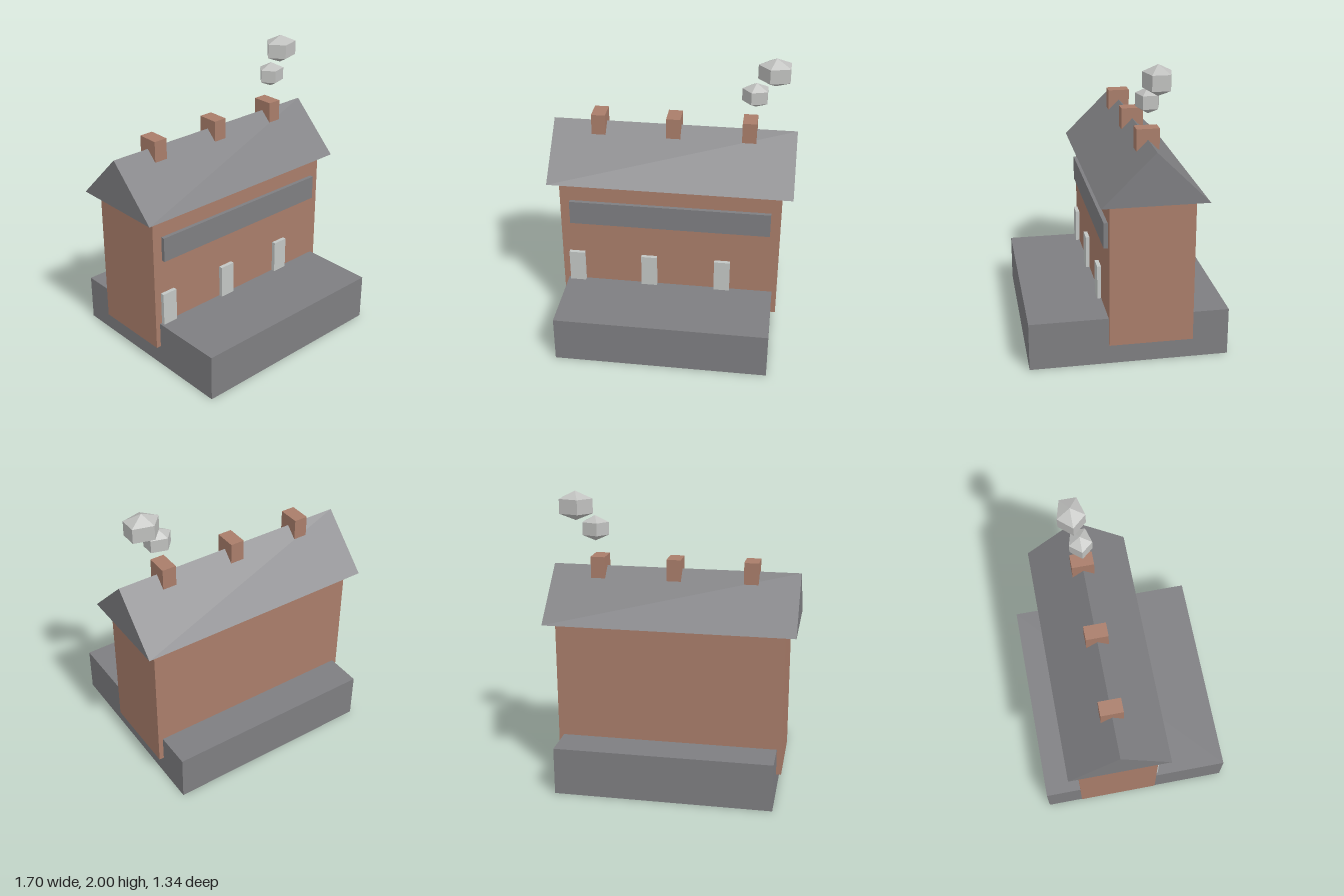
import * as THREE from 'three';

const mat = (name, color) => {
  const m = new THREE.MeshStandardMaterial({ color });
  m.name = name;
  return m;
};

export function createModel() {
  const model = new THREE.Group();
  model.name = 'building';
  const stone = mat('slate grey', 0x7e7e81);
  const brick = mat('brick', 0xa97d6a);
  const door = mat('pale grey', 0xc2c6c4);
  const smoke = mat('smoke grey', 0xbfc0be);

  const add = (name, geometry, material) => {
    const mesh = new THREE.Mesh(geometry, material);
    mesh.name = name;
    model.add(mesh);
    return mesh;
  };
  // Box given by its limits on each axis
  const box = (name, material, [x0, x1], [y0, y1], [z0, z1]) => {
    const mesh = add(name, new THREE.BoxGeometry(x1 - x0, y1 - y0, z1 - z0), material);
    mesh.position.set((x0 + x1) / 2, (y0 + y1) / 2, (z0 + z1) / 2);
  };

  // Plinth, walls and the long sign board
  box('base', stone, [-0.743, 0.743], [0, 0.33], [-0.672, 0.672]);
  box('walls', brick, [-0.777, 0.777], [0.148, 1.15], [-0.42, 0.143]);
  box('signBoard', stone, [-0.707, 0.707], [0.815, 0.99], [0.13, 0.17]);

  // Gable roof: triangle extruded along x
  const gable = new THREE.Shape([
    new THREE.Vector2(-0.21, 1.14),
    new THREE.Vector2(0.492, 1.14),
    new THREE.Vector2(0.141, 1.488),
  ]);
  const roof = new THREE.ExtrudeGeometry(gable, { depth: 1.7, bevelEnabled: false });
  roof.rotateY(Math.PI / 2).translate(-0.85, 0, 0);
  add('roof', roof, stone);

  // Doors and chimneys
  for (const x of [-0.67, -0.145, 0.38]) {
    box('door', door, [x - 0.056, x + 0.056], [0.3, 0.567], [0.13, 0.17]);
  }
  for (const x of [-0.524, 0, 0.524]) {
    box('chimney', brick, [x - 0.049, x + 0.049], [1.39, 1.56], [-0.217, -0.065]);
  }

  // Faceted five-sided smoke puffs
  smoke.flatShading = true;
  for (const [x, y, z, rx, ry, rz] of [
    [0.555, 1.745, -0.14, 0.11, 0.087, 0.094],
    [0.68, 1.9, -0.175, 0.139, 0.1, 0.113],
  ]) {
    const puff = add('smokePuff', new THREE.SphereGeometry(1, 5, 3), smoke);
    puff.scale.set(rx, ry, rz);
    puff.position.set(x, y, z);
  }
  return model;
}
